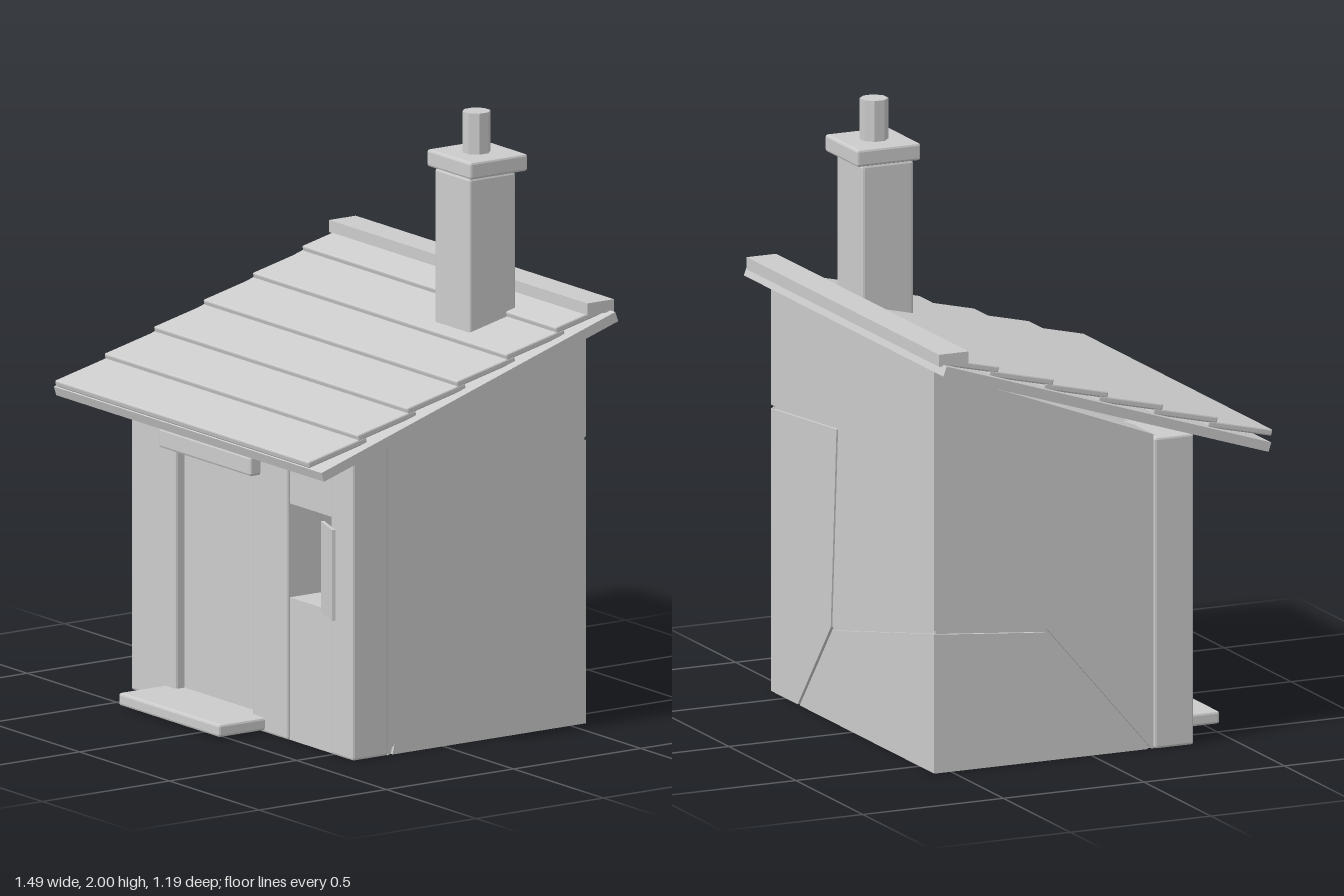
import * as THREE from 'three';
import { RoundedBoxGeometry } from 'three/addons/geometries/RoundedBoxGeometry.js';

const grey = new THREE.MeshStandardMaterial({ color: 0xcccccc });
grey.name = 'plain grey';

export function createModel() {
  const hut = new THREE.Group();
  hut.name = 'hut';

  const add = (name, geometry) => {
    const mesh = new THREE.Mesh(geometry, grey);
    mesh.name = name;
    hut.add(mesh);
    return mesh;
  };

  // Box between two corners, with a small flat chamfer unless bevel is 0
  const box = (name, [x0, x1], [y0, y1], [z0, z1], bevel = 0.008) => {
    const size = [x1 - x0, y1 - y0, z1 - z0];
    const g = bevel ? new RoundedBoxGeometry(...size, 1, bevel) : new THREE.BoxGeometry(...size);
    if (bevel) g.computeVertexNormals();
    g.translate((x0 + x1) / 2, (y0 + y1) / 2, (z0 + z1) / 2);
    return add(name, g);
  };

  const extrude = (points, depth) => new THREE.ExtrudeGeometry(
    new THREE.Shape(points.map(p => new THREE.Vector2(...p))), { depth, bevelEnabled: false });

  // (z, y) outline extruded inwards towards -x from the plane x = xMax
  const sidePlate = (name, points, xMax, depth) =>
    add(name, extrude(points, depth).rotateY(-Math.PI / 2).translate(xMax, 0, 0));

  // Hollow core walls
  const profile = [[-0.55, 0], [0.22, 0], [0.22, 1.04], [-0.23, 1.21], [-0.55, 1.33]];
  sidePlate('leftWall', profile, 0.6, 0.13);
  sidePlate('rightWall', profile, -0.47, 0.13);
  box('backWall', [-0.47, 0.47], [0, 1.33], [-0.55, -0.42], 0);

  // Plaster plates with narrow cracks between them
  sidePlate('leftLowerPlaster',
    [[-0.56, 0], [0.2, 0], [-0.055, 1.13], [-0.56, 0.935]], 0.61, 0.01);
  sidePlate('leftUpperPlaster',
    [[0.212, 0], [0.22, 0], [0.22, 1.04], [-0.23, 1.21], [-0.56, 1.33], [-0.56, 0.948], [-0.047, 1.145]], 0.61, 0.01);
  sidePlate('rightLowerPlaster',
    [[-0.56, 0], [0.2, 0], [-0.165, 0.425], [-0.56, 0.46]], -0.6, 0.01);
  sidePlate('rightUpperPlaster',
    [[0.214, 0], [0.22, 0], [0.22, 1.04], [-0.23, 1.21], [-0.56, 1.33], [-0.56, 0.472], [-0.16, 0.437]], -0.6, 0.01);
  const backPlates = {
    backCornerPlaster: [[0.41, 0], [0.6, 0], [0.6, 0.935], [0.12, 0.975], [0.163, 0.31]],
    backLowerPlaster: [[-0.6, 0], [0.395, 0], [0.152, 0.302], [-0.6, 0.46]],
    backUpperPlaster: [[-0.6, 0.472], [0.151, 0.315], [0.107, 0.988], [0.6, 0.948], [0.6, 1.33], [-0.6, 1.33]],
  };
  for (const [name, points] of Object.entries(backPlates))
    add(name, extrude(points, 0.01).translate(0, 0, -0.56));

  // Front wall boards, door and window bay
  for (const [name, x] of [['frontBoardRight', [-0.62, -0.37]],
    ['frontBoardMiddle', [0.055, 0.25]], ['frontPost', [0.49, 0.615]]])
    box(name, x, [0, 1.03], [0.22, 0.36]);
  box('door', [-0.38, 0.065], [0.01, 1.03], [0.24, 0.325], 0);
  box('panelBelowWindow', [0.24, 0.5], [0, 0.47], [0.23, 0.35], 0);
  box('panelAboveWindow', [0.24, 0.5], [0.78, 1.03], [0.23, 0.35], 0);
  box('doorLintel', [-0.41, 0.1], [0.845, 0.91], [0.31, 0.4]);
  box('doorStep', [-0.435, 0.125], [0.008, 0.05], [0.3, 0.54]);

  // Half-open shutter
  const shutter = add('shutter', new THREE.BoxGeometry(0.13, 0.3, 0.012));
  shutter.position.set(0.558, 0.625, 0.417);
  shutter.rotation.y = -0.34;

  // Sloping roof deck
  sidePlate('roofDeck',
    [[0.565, 0.975], [0.575, 1.005], [-0.58, 1.38], [-0.592, 1.348]].reverse(), 0.745, 1.49);

  // Overlapping roof boards
  for (let i = 0; i < 6; i++) {
    const z = 0.595 - i * 0.1945;
    const y = 1.015 + i * 0.0625;
    const g = new RoundedBoxGeometry(1.412, 0.022, 0.235, 1, 0.005);
    g.computeVertexNormals();
    g.translate(0, 0.011, -0.1175);
    const board = add('roofBoard', g);
    board.scale.z = i === 5 ? 0.93 : 1;
    board.position.set(0, y, z);
    board.rotation.x = 0.23;
  }
  box('ridgeBeam', [-0.72, 0.717], [1.375, 1.415], [-0.595, -0.49], 0);

  // Chimney
  box('chimneyStack', [0.235, 0.43], [1.2, 1.805], [-0.412, -0.23]);
  box('chimneyCap', [0.212, 0.455], [1.808, 1.865], [-0.442, -0.215]);
  const pipe = new THREE.CylinderGeometry(0.046, 0.046, 0.15, 8).toNonIndexed();
  pipe.computeVertexNormals();
  add('chimneyPipe', pipe.rotateY(Math.PI / 8).translate(0.333, 1.925, -0.325));

  return hut;
}
